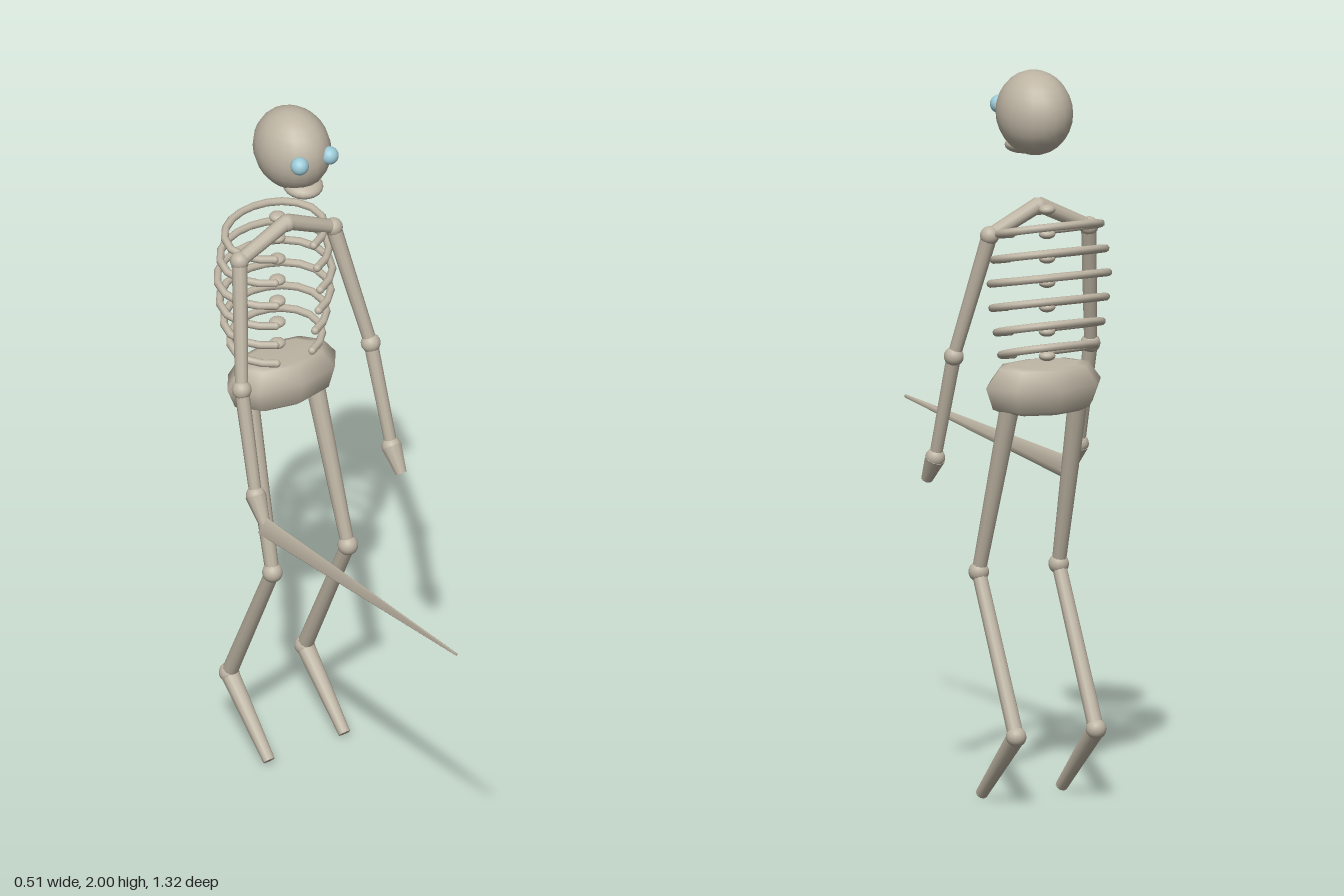
import * as THREE from 'three';

export function createModel() {
  const model = new THREE.Group();
  model.name = 'skeleton';
  const bone = new THREE.MeshStandardMaterial({ color: 0xbdb4a3 });
  bone.name = 'bone';
  const eyeBlue = new THREE.MeshStandardMaterial({ color: 0x9ccbd8 });
  eyeBlue.name = 'eyeBlue';

  const add = (name, geometry, material = bone, parent = model) => {
    const mesh = new THREE.Mesh(geometry, material);
    mesh.name = name;
    parent.add(mesh);
    return mesh;
  };
  const ball = (name, p, r, material = bone, parent = model) => {
    const mesh = add(name, new THREE.SphereGeometry(1, 20, 14), material, parent);
    mesh.position.set(...p);
    if (Array.isArray(r)) mesh.scale.set(...r);
    else mesh.scale.setScalar(r);
    return mesh;
  };
  // Tapered rod running from a to b
  const rod = (name, a, b, ra, rb, parent = model, sides = 10) => {
    const from = new THREE.Vector3(...a), to = new THREE.Vector3(...b);
    const dir = to.clone().sub(from);
    const mesh = add(name, new THREE.CylinderGeometry(rb, ra, dir.length(), sides), bone, parent);
    mesh.position.copy(from).add(to).multiplyScalar(0.5);
    mesh.quaternion.setFromUnitVectors(new THREE.Vector3(0, 1, 0), dir.normalize());
    return mesh;
  };

  // Head
  ball('skull', [0, 1.884, -0.44], [0.1, 0.116, 0.12]);
  ball('jaw', [0, 1.79, -0.388], [0.055, 0.026, 0.056]).rotation.x = 0.1;

  // Spine and breast joint
  for (let i = 0; i < 7; i++) ball('vertebra', [0, 1.628 - i * 0.067, -0.51], [0.023, 0.014, 0.022]);
  ball('collarJoint', [0, 1.63, -0.465], 0.024);

  // Ribs: arcs open at the front, lower in front than behind
  const ribs = [ // half width, front z, back z, mid y
    [0.150, -0.42, -0.625, 1.577],
    [0.162, -0.41, -0.638, 1.508],
    [0.170, -0.40, -0.646, 1.442],
    [0.165, -0.405, -0.638, 1.375],
    [0.153, -0.415, -0.628, 1.308],
    [0.137, -0.42, -0.615, 1.245],
  ];
  for (const [w, front, back, y] of ribs) {
    const zc = (front + back) / 2, d = (front - back) / 2;
    const points = [];
    for (let i = 0; i <= 14; i++) {
      const t = (i / 14 * 2 - 1) * 2.7;
      points.push(new THREE.Vector3(w * Math.sin(t), y + 0.025 * Math.cos(t), zc - d * Math.cos(t)));
    }
    const curve = new THREE.CatmullRomCurve3(points);
    add('rib', new THREE.TubeGeometry(curve, 16, 0.011, 8));
    for (const p of [points[0], points[14]]) ball('ribTip', p.toArray(), 0.011);
  }

  // Pelvis: squat eight-sided lathe, widened sideways
  const profile = [[0, 0.062], [0.105, 0.062], [0.138, 0.058], [0.178, 0.008],
    [0.155, -0.052], [0.12, -0.066], [0, -0.068]].map(([x, y]) => new THREE.Vector2(x, y)).reverse();
  const pelvis = add('pelvis', new THREE.LatheGeometry(profile, 8));
  pelvis.position.set(0, 1.14, -0.49);
  pelvis.scale.z = 0.57;
  pelvis.rotation.x = -0.06;

  // Eyes and limbs on both sides
  for (const s of [1, -1]) {
    const side = s > 0 ? 'left' : 'right';
    ball(side + 'Eye', [s * 0.049, 1.895, -0.333], 0.025, eyeBlue);

    const arm = new THREE.Group();
    arm.name = side + 'Arm';
    const shoulder = [s * 0.154, 1.563, -0.467];
    const elbow = [s * 0.212, 1.222, -0.373];
    const wrist = [s * 0.223, 0.932, -0.29];
    rod('collarBone', [0, 1.635, -0.465], shoulder, 0.022, 0.02, arm);
    ball('shoulder', shoulder, 0.026, bone, arm);
    rod('upperArm', shoulder, elbow, 0.022, 0.018, arm);
    ball('elbow', elbow, 0.027, bone, arm);
    rod('forearm', elbow, wrist, 0.02, 0.017, arm);
    ball('wrist', wrist, 0.027, bone, arm);
    rod('hand', wrist, [s * 0.225, 0.867, -0.247], 0.029, 0.016, arm);
    model.add(arm);

    const leg = new THREE.Group();
    leg.name = side + 'Leg';
    const knee = [s * 0.124, 0.62, -0.354];
    const ankle = [s * 0.124, 0.198, -0.56];
    rod('thigh', [s * 0.105, 1.11, -0.497], knee, 0.027, 0.019, leg);
    ball('knee', knee, 0.028, bone, leg);
    rod('shin', knee, ankle, 0.02, 0.022, leg);
    ball('ankle', ankle, 0.028, bone, leg);
    rod('foot', ankle, [s * 0.124, 0.013, -0.37], 0.026, 0.017, leg);
    model.add(leg);
  }

  // Blade: long four-sided spike held in the right hand
  rod('blade', [-0.223, 0.854, -0.233], [-0.223, 0.912, 0.665], 0.033, 0.005, model, 4);

  return model;
}
